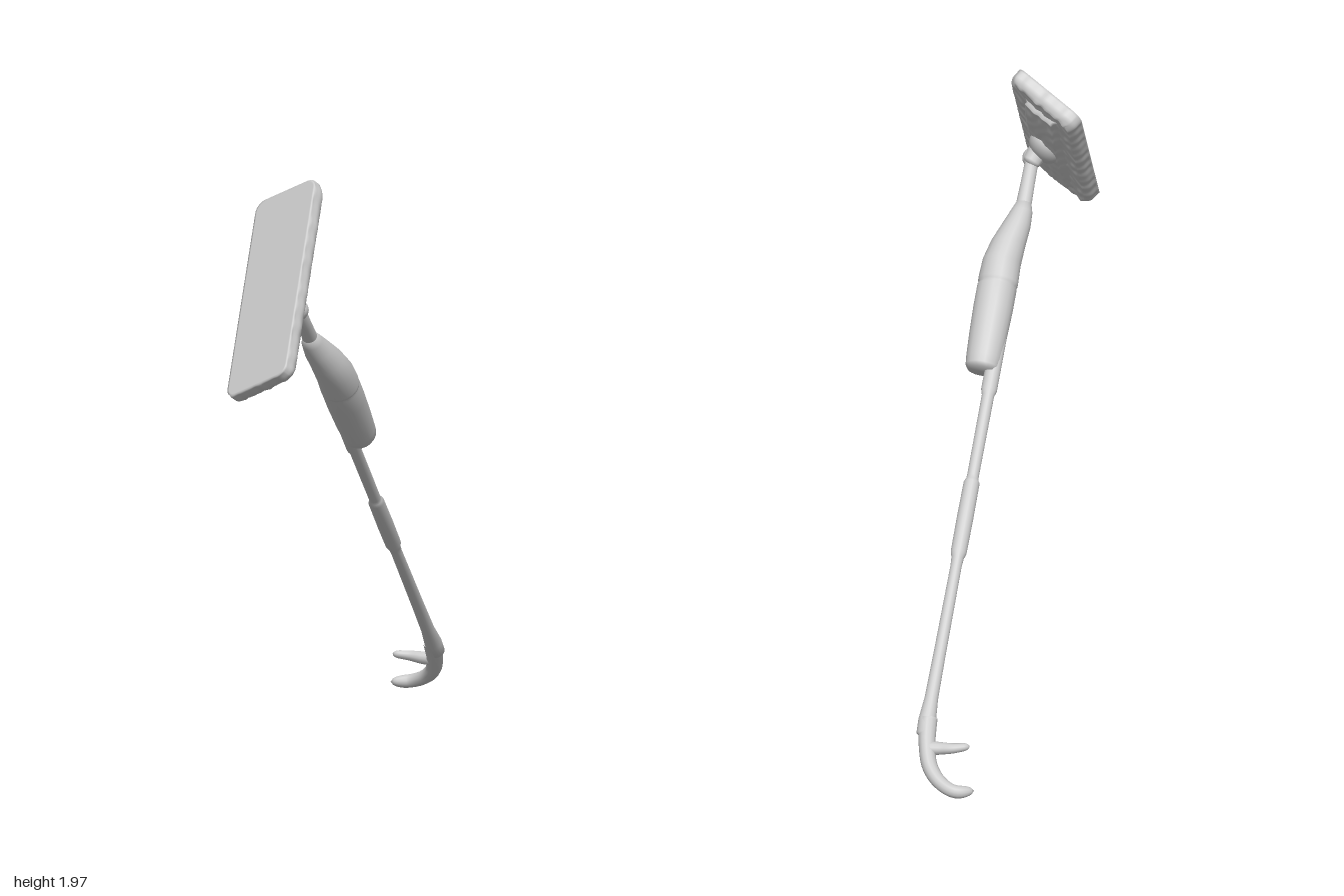
import * as THREE from 'three';
import { mergeVertices } from 'three/addons/utils/BufferGeometryUtils.js';

const V = (x, y, z) => new THREE.Vector3(x, y, z);
const material = new THREE.MeshStandardMaterial({ color: 0xcccccc });

function mesh(name, geometry) {
  const m = new THREE.Mesh(geometry, material);
  m.name = name;
  return m;
}

// Moves every vertex by a rule, then rebuilds smooth normals.
function reshape(geometry, rule) {
  geometry.deleteAttribute('normal');
  geometry.deleteAttribute('uv');
  const g = mergeVertices(geometry, 1e-5);
  const p = g.attributes.position, v = V(0, 0, 0);
  for (let i = 0; i < p.count; i++) {
    rule(v.fromBufferAttribute(p, i));
    p.setXYZ(i, v.x, v.y, v.z);
  }
  g.computeVertexNormals();
  return g;
}

// Turned shape from [radius, height] pairs.
const turned = (profile) =>
  new THREE.LatheGeometry(profile.map(([r, t]) => new THREE.Vector2(r, t)), 20);

// Curved rod with a radius that varies along it and a rounded tip.
function rod(name, points, r0, r1) {
  const curve = new THREE.CatmullRomCurve3(points.map((p) => V(...p)));
  const N = 40, sides = 12;
  const g = new THREE.TubeGeometry(curve, N, 1, sides);
  const p = g.attributes.position, v = V(0, 0, 0);
  for (let i = 0; i < p.count; i++) {
    const u = Math.floor(i / (sides + 1)) / N;
    const tip = Math.sqrt(Math.max(0, 1 - Math.max(0, (u - 0.85) / 0.15) ** 2));
    const c = curve.getPointAt(u);
    v.fromBufferAttribute(p, i).sub(c).multiplyScalar((r0 + (r1 - r0) * u) * tip).add(c);
    p.setXYZ(i, v.x, v.y, v.z);
  }
  return mesh(name, reshape(g, () => {}));
}

function createHandle() {
  const handle = new THREE.Group();
  handle.name = 'handle';
  const axis = V(0.605, -0.67, -0.43).normalize();
  handle.position.set(-0.02, 1.02, 0.08);
  handle.quaternion.setFromUnitVectors(V(0, 1, 0), axis);

  // Long pole with the joining sleeve, widening towards the hook
  handle.add(mesh('pole', turned([
    [0, -0.85], [0.022, -0.845], [0.024, -0.72], [0.027, -0.62], [0.027, 0.03], [0.021, 0.05],
    [0.02, 0.34], [0.021, 0.355], [0.027, 0.365], [0.028, 0.5], [0.027, 0.62], [0.021, 0.64],
    [0.019, 0.67], [0.021, 1.0], [0.023, 1.15], [0.03, 1.23], [0.028, 1.28], [0, 1.3],
  ])));

  // Swollen grip, set off to one side of the pole, with a seam half way
  const side = V(0.6, 0.05, 0.78).applyQuaternion(handle.quaternion.clone().invert());
  const grip = reshape(turned([
    [0, -0.655], [0.026, -0.65], [0.036, -0.62], [0.047, -0.57], [0.058, -0.5], [0.065, -0.43],
    [0.068, -0.36], [0.067, -0.35], [0.063, -0.345], [0.067, -0.338], [0.067, -0.26],
    [0.064, -0.16], [0.06, -0.08], [0.057, -0.05], [0.048, -0.035], [0, -0.033],
  ]), (v) => v.addScaledVector(side, 0.038 * THREE.MathUtils.smoothstep(v.y, -0.65, -0.42)));
  handle.add(mesh('grip', grip));
  return handle;
}

function createHead() {
  const head = new THREE.Group();
  head.name = 'mopHead';
  const along = V(0.515, 0.72, -0.463).normalize();
  const up = V(-0.827, 0.554, -0.057);
  up.addScaledVector(along, -up.dot(along)).normalize();
  const across = V(0, 0, 0).crossVectors(along, up);
  head.quaternion.setFromRotationMatrix(new THREE.Matrix4().makeBasis(along, up, across));
  head.position.set(-0.585, 1.63, 0.403);

  // Fleecy pad: flat on its wiping face (+y), lumpy on its rim and back
  const a = 0.4, b = 0.14, h = 0.028;
  const lump = (v) =>
    Math.sin(v.x * 47 + 3 * Math.sin(v.z * 31)) * Math.sin(v.z * 53 + 2 * Math.cos(v.x * 23));
  const pad = reshape(new THREE.BoxGeometry(2 * a, 2 * h, 2 * b, 100, 8, 40), (v) => {
    const n = lump(v), back = v.y < h - 1e-4;
    // rounded corners in plan
    const r = 0.04, cx = Math.max(0, Math.abs(v.x) - a + r), cz = Math.max(0, Math.abs(v.z) - b + r);
    const k = Math.max(cx, cz) / (Math.hypot(cx, cz) || 1);
    v.x -= Math.sign(v.x) * cx * (1 - k);
    v.z -= Math.sign(v.z) * cz * (1 - k);
    // edges rounded towards the back
    const s = 1 - 0.045 * Math.max(0, -v.y / h) ** 2;
    v.x *= s;
    v.z *= 1 - (1 - s) * 2.2;
    if (back) {
      v.x += 0.003 * n * Math.abs(v.x) / a;
      v.z += 0.004 * n * Math.abs(v.z) / b;
    }
    if (v.y < -h + 1e-4) v.y += 0.004 * n;
  });
  head.add(mesh('pad', pad));

  // Raised frame strip under the cover, highest in the middle
  const plate = reshape(new THREE.BoxGeometry(0.66, 0.04, 0.15, 60, 4, 20), (v) => {
    if (v.y < 0) {
      v.y -= 0.014 * Math.cos(v.x * 4.5) - 0.003 * lump(v);
      v.x *= 0.96;
      v.z *= 0.8;
    }
  });
  plate.translate(0, -0.022, 0);
  head.add(mesh('backPlate', plate));

  // Hub that carries the swivel
  const hub = mesh('hub', new THREE.SphereGeometry(1, 24, 16));
  hub.scale.set(0.085, 0.045, 0.06);
  hub.position.set(0, -0.045, 0);
  head.add(hub);
  return head;
}

export function createModel() {
  const model = new THREE.Group();
  model.name = 'mop';
  model.add(createHead(), createHandle());

  // Swivel joint between hub and handle
  const joint = mesh('swivelJoint', new THREE.SphereGeometry(0.036, 20, 14));
  joint.position.set(-0.515, 1.565, 0.43);
  model.add(joint);
  model.add(rod('swivelArm', [[-0.56, 1.62, 0.405], [-0.53, 1.59, 0.42], [-0.49, 1.55, 0.42]], 0.04, 0.03));

  // Hanging hook and its small prong
  model.add(rod('hook', [
    [0.72, 0.2, -0.45], [0.765, 0.14, -0.495], [0.8, 0.085, -0.55], [0.807, 0.05, -0.61],
    [0.79, 0.032, -0.665], [0.735, 0.03, -0.7],
  ], 0.031, 0.021));
  model.add(rod('prong', [
    [0.77, 0.13, -0.51], [0.745, 0.132, -0.54], [0.72, 0.137, -0.575], [0.675, 0.143, -0.61],
  ], 0.025, 0.012));
  return model;
}
